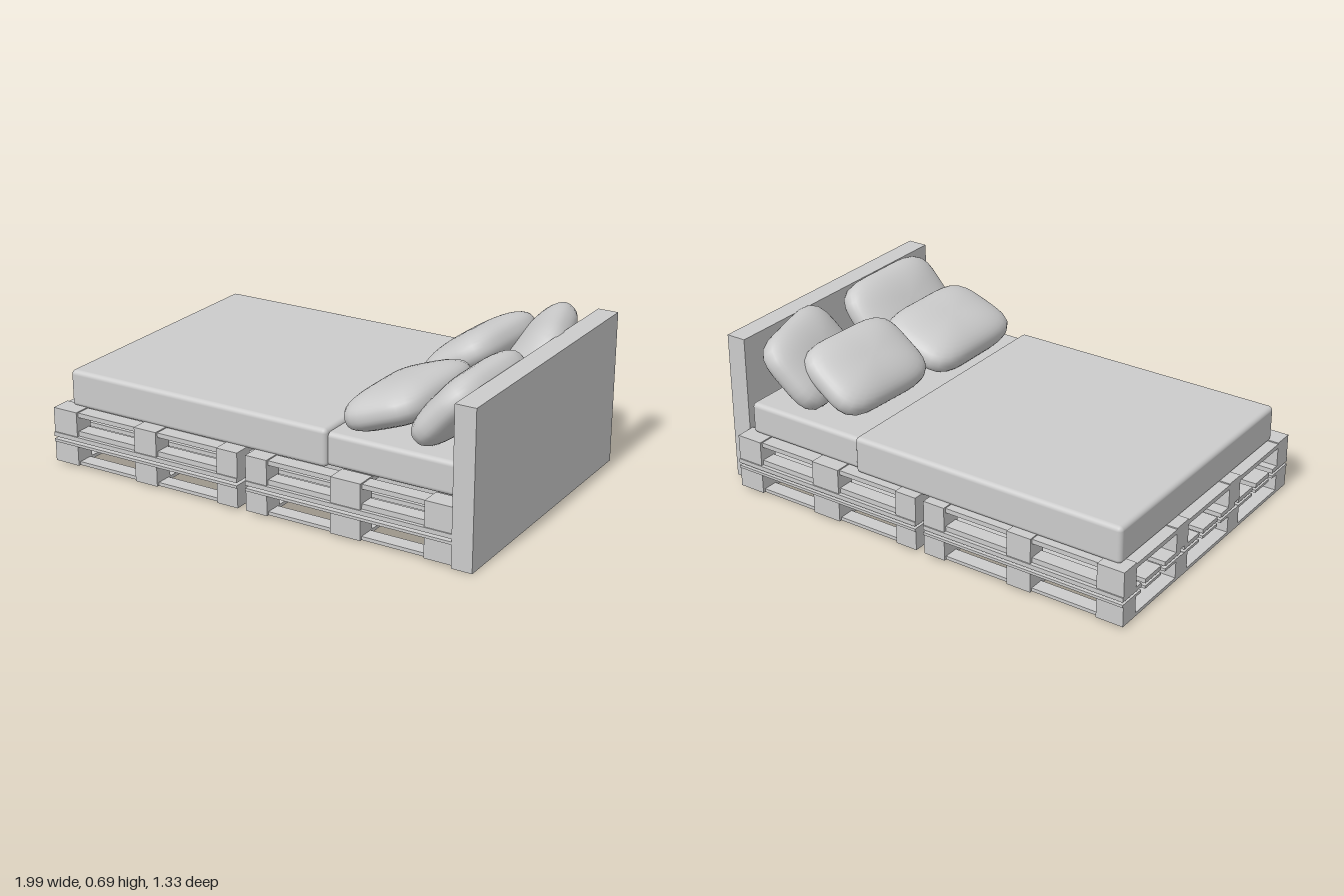
import * as THREE from 'three';
import { RoundedBoxGeometry } from 'three/addons/geometries/RoundedBoxGeometry.js';

const grey = new THREE.MeshStandardMaterial({ color: 0xcccccc });

function add(parent, name, geometry) {
  const mesh = new THREE.Mesh(geometry, grey);
  mesh.name = name;
  parent.add(mesh);
  return mesh;
}

// Box given by its minimum and maximum on each axis
function span(parent, name, [x0, x1], [y0, y1], [z0, z1], radius = 0) {
  const size = [x1 - x0, y1 - y0, z1 - z0];
  const geometry = radius
    ? new RoundedBoxGeometry(...size, 4, radius)
    : new THREE.BoxGeometry(...size);
  const mesh = add(parent, name, geometry);
  mesh.position.set((x0 + x1) / 2, (y0 + y1) / 2, (z0 + z1) / 2);
  return mesh;
}

const blockRows = [[-0.66, -0.57], [-0.27, -0.18], [0.15, 0.24], [0.57, 0.66]];

// Pallet with a grid of blocks between a runner frame and a slatted deck
function pallet(name, columns, blocks, runners, deck, stringers) {
  const group = new THREE.Group();
  group.name = name;
  const x0 = columns[0][0], x1 = columns[2][1];
  for (const column of columns) {
    for (const row of blockRows) span(group, 'palletBlock', column, blocks, row);
    span(group, 'crossRunner', column, runners, [-0.64, 0.64]);
  }
  for (const [z0, z1] of blockRows) {
    span(group, 'longRunner', [x0 + 0.01, x1 - 0.01], runners, [z0 + 0.012, z1 - 0.012]);
    if (stringers) span(group, 'stringer', [x0 + 0.01, x1 - 0.01], stringers, [z0 + 0.012, z1 - 0.012]);
  }
  // Deck slats run along the bed
  const slats = 9, pitch = 1.33 / slats;
  for (let i = 0; i < slats; i++) {
    const z = -0.665 + i * pitch;
    const start = i === 0 ? z : z + 0.015;
    const end = i === slats - 1 ? z + pitch : z + pitch - 0.015;
    span(group, 'deckSlat', [x0, x1], deck, [start, end]);
  }
  return group;
}

// Plump cushion: a sphere pushed out towards a rounded block
function pillowGeometry(width, thickness, length) {
  const geometry = new THREE.SphereGeometry(1, 36, 24);
  const p = geometry.attributes.position;
  const v = new THREE.Vector3();
  for (let i = 0; i < p.count; i++) {
    v.fromBufferAttribute(p, i);
    const plan = Math.pow(v.x ** 4 + v.z ** 4, 0.25);
    const r = Math.pow(plan ** 2.5 + Math.abs(v.y) ** 2.5, -1 / 2.5);
    v.multiplyScalar(r);
    // Sides pull in slightly between the corners
    const pinch = 1 - 0.05 * (1 - v.z * v.z);
    p.setXYZ(i, v.x * pinch * width / 2, v.y * thickness / 2, v.z * length / 2);
  }
  geometry.computeVertexNormals();
  // Close the shading along the sphere's seam
  const n = geometry.attributes.normal;
  for (let row = 0; row <= 24; row++) {
    const a = row * 37, b = a + 36;
    v.set(n.getX(a) + n.getX(b), n.getY(a) + n.getY(b), n.getZ(a) + n.getZ(b)).normalize();
    n.setXYZ(a, v.x, v.y, v.z);
    n.setXYZ(b, v.x, v.y, v.z);
  }
  return geometry;
}

export function createModel() {
  const model = new THREE.Group();
  model.name = 'palletBed';

  // Two stacked layers of two pallets, the upper layer turned over
  const halves = [
    [[-1, -0.88], [-0.58, -0.47], [-0.17, -0.07]],
    [[-0.03, 0.07], [0.365, 0.5], [0.78, 0.9]],
  ];
  for (const columns of halves) {
    model.add(pallet('lowerPallet', columns, [0.01, 0.108], [0.01, 0.025], [0.098, 0.11]));
    model.add(pallet('upperPallet', columns, [0.14, 0.25], [0.225, 0.245], [0.122, 0.141], [0.141, 0.163]));
  }

  // Headboard
  span(model, 'headboard', [0.9, 0.99], [0, 0.665], [-0.587, 0.665]);

  // Mattress with a cover over the foot end
  span(model, 'mattress', [-0.94, 0.87], [0.247, 0.388], [-0.6, 0.575], 0.02);
  span(model, 'bedCover', [-0.957, 0.303], [0.243, 0.405], [-0.62, 0.592], 0.02);

  // Pillows: position, size (width, thickness, length), yaw, tilt
  const pillows = [
    ['frontLeftPillow', [0.5, 0.492, 0.29], [0.39, 0.18, 0.57], 0, 0.36],
    ['frontRightPillow', [0.525, 0.52, -0.26], [0.38, 0.18, 0.54], -0.05, 0.6],
    ['backLeftPillow', [0.765, 0.535, 0.29], [0.38, 0.18, 0.57], 0, 0.85],
    ['backRightPillow', [0.745, 0.535, -0.345], [0.38, 0.18, 0.53], 0.3, 0.85],
  ];
  for (const [name, position, size, yaw, tilt] of pillows) {
    const pillow = add(model, name, pillowGeometry(...size));
    pillow.position.set(...position);
    pillow.rotation.set(0, yaw, tilt, 'YXZ');
  }
  return model;
}
